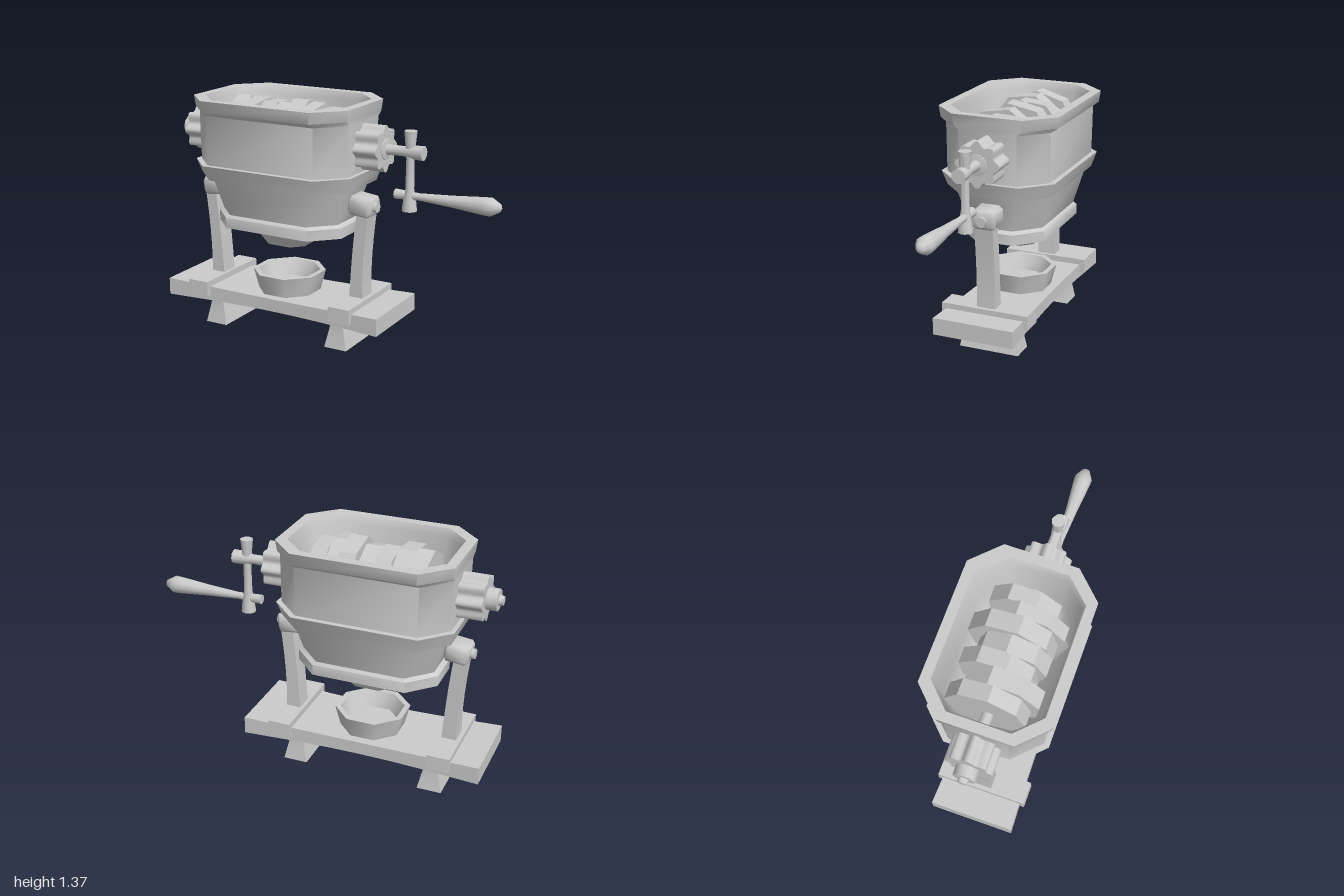
import * as THREE from 'three';
import { toCreasedNormals } from 'three/addons/utils/BufferGeometryUtils.js';

const CX = -0.295; // middle of the body and base
const AXLE_Y = 1.14;
const grey = new THREE.MeshStandardMaterial({ color: 0xcccccc });

function part(parent, name, geometry, x = 0, y = 0, z = 0, crease = 0.85) {
  const mesh = new THREE.Mesh(toCreasedNormals(geometry, crease), grey);
  mesh.name = name;
  mesh.position.set(x, y, z);
  parent.add(mesh);
  return mesh;
}

// Skin through corner-cut rectangles; each level is [y, halfX, halfZ, cut]
function loft(levels) {
  const pos = [], index = [];
  for (const [y, hx, hz, c] of levels) {
    const a = hx - c, b = hz - c;
    for (const [x, z] of [[-a, hz], [a, hz], [hx, b], [hx, -b], [a, -hz], [-a, -hz], [-hx, -b], [-hx, b]]) pos.push(x, y, z);
  }
  for (let l = 0; l < levels.length - 1; l++) {
    for (let i = 0; i < 8; i++) {
      const a = l * 8 + i, b = l * 8 + (i + 1) % 8;
      index.push(a, b, b + 8, a, b + 8, a + 8);
    }
  }
  const top = (levels.length - 1) * 8;
  for (let i = 1; i < 7; i++) index.push(0, i + 1, i, top, top + i, top + i + 1);
  const geo = new THREE.BufferGeometry();
  geo.setAttribute('position', new THREE.Float32BufferAttribute(pos, 3));
  geo.setIndex(index);
  return geo;
}

// Box whose vertices are moved by a rule
function shapedBox(w, h, d, segs, rule) {
  const geo = new THREE.BoxGeometry(w, h, d, ...segs);
  const p = geo.attributes.position, v = new THREE.Vector3();
  for (let i = 0; i < p.count; i++) {
    rule(v.fromBufferAttribute(p, i));
    p.setXYZ(i, v.x, v.y, v.z);
  }
  return geo;
}

// Turned piece from [radius, height] points
const turned = (points, sides = 10) =>
  new THREE.LatheGeometry(points.map(([r, y]) => new THREE.Vector2(r, y)), sides);
const alongX = (geo) => geo.rotateZ(-Math.PI / 2);

function lobedHub(depth) {
  const pts = [];
  for (let i = 0; i < 64; i++) {
    const t = i / 64 * Math.PI * 2, r = 0.116 + 0.014 * Math.cos(8 * t);
    pts.push(new THREE.Vector2(r * Math.cos(t), r * Math.sin(t)));
  }
  return new THREE.ExtrudeGeometry(new THREE.Shape(pts), { depth, bevelEnabled: false }).rotateY(Math.PI / 2);
}

export function createModel() {
  const model = new THREE.Group();
  model.name = 'handCrankGrinder';

  // Hopper: spout recess, outside, rim, then down the inside
  part(model, 'hopper', loft([
    [0.59, 0.09, 0.075, 0.045],
    [0.527, 0.105, 0.088, 0.05],
    [0.527, 0.13, 0.11, 0.06],
    [0.63, 0.21, 0.167, 0.09],
    [0.63, 0.405, 0.25, 0.14],
    [0.69, 0.405, 0.25, 0.14],
    [0.705, 0.38, 0.233, 0.13],
    [0.915, 0.44, 0.29, 0.15],
    [0.915, 0.48, 0.312, 0.15],
    [1.0, 0.503, 0.338, 0.15],
    [1.0, 0.48, 0.308, 0.14],
    [1.28, 0.483, 0.31, 0.14],
    [1.305, 0.488, 0.346, 0.15],
    [1.37, 0.495, 0.354, 0.15],
    [1.37, 0.44, 0.3, 0.13],
    [1.33, 0.425, 0.285, 0.125],
    [1.1, 0.405, 0.272, 0.12],
    [0.9, 0.36, 0.25, 0.12],
    [0.7, 0.2, 0.14, 0.08],
  ]), CX);

  // Grinding rollers: [left, right, radius, z offset, turn]
  const rollers = new THREE.Group();
  rollers.name = 'rollers';
  model.add(rollers);
  [
    [-0.62, -0.53, 0.22, -0.02, 0.1],
    [-0.53, -0.43, 0.22, 0.03, 0.5],
    [-0.43, -0.34, 0.21, -0.03, 0.3],
    [-0.34, -0.24, 0.2, 0.015, 0.7],
    [-0.24, -0.14, 0.235, -0.02, 0.2],
    [-0.14, -0.06, 0.22, 0.03, 0.55],
    [-0.06, 0.03, 0.2, -0.01, 0.35],
  ].forEach(([a, b, r, z, turn]) => {
    const roller = part(rollers, 'roller', alongX(new THREE.CylinderGeometry(r, r, b - a, 8)), (a + b) / 2, AXLE_Y, z, 0.4);
    roller.rotation.x = turn;
  });
  part(rollers, 'axle', alongX(new THREE.CylinderGeometry(0.032, 0.032, 0.78, 8)), CX, AXLE_Y);

  // Lobed hubs on both ends of the axle
  part(model, 'leftHub', lobedHub(0.145), 0.18, AXLE_Y);
  part(model, 'rightHub', lobedHub(0.145), -0.915, AXLE_Y);
  part(model, 'hubCap', alongX(turned([
    [0, -0.09], [0.025, -0.09], [0.03, -0.065], [0.06, -0.065], [0.062, 0], [0, 0],
  ])), -0.91, AXLE_Y);

  // Crank
  const crank = new THREE.Group();
  crank.name = 'crank';
  model.add(crank);
  part(crank, 'crankShaft', alongX(turned([
    [0, 0.3], [0.065, 0.3], [0.06, 0.33], [0.03, 0.335], [0.027, 0.43], [0.038, 0.5], [0.04, 0.55], [0, 0.55],
  ])), 0, AXLE_Y);
  part(crank, 'crankArm', turned([
    [0, 0.815], [0.042, 0.815], [0.036, 0.87], [0.024, 0.94], [0.022, 1.1], [0.03, 1.2], [0.036, 1.255], [0, 1.255],
  ]), 0.47);
  part(crank, 'crankHandle', alongX(turned([
    [0, 0.385], [0.028, 0.385], [0.025, 0.44], [0.02, 0.53], [0.032, 0.72], [0.048, 0.9], [0.05, 0.94], [0.022, 0.99], [0, 1],
  ])), 0, 0.9);

  // Board, slightly thinner and narrower in the middle
  part(model, 'baseBoard', shapedBox(1.39, 0.1, 0.48, [8, 1, 1], (v) => {
    const k = Math.min(1, Math.abs(v.x) / 0.65);
    v.y *= 0.74 + 0.26 * k * k;
    v.z *= 0.92 + 0.08 * k * k;
  }), CX, 0.203);

  // Arms, clamps and feet, the same on both sides
  for (const s of [1, -1]) {
    const side = new THREE.Group();
    side.name = s > 0 ? 'leftSupport' : 'rightSupport';
    side.position.x = CX;
    model.add(side);

    part(side, 'clamp', shapedBox(0.13, 0.085, 0.525, [1, 1, 1], (v) => {
      if (v.y > 0) v.z *= 0.99;
    }), s * 0.47, 0.238);

    part(side, 'arm', shapedBox(0.07, 0.54, 0.11, [1, 6, 1], (v) => {
      const t = v.y / 0.54 + 0.5;
      v.x = v.x * (1 + 0.25 * (1 - t) ** 4) + s * (0.468 + 0.005 * t + 0.035 * t * t);
    }), 0, 0.52);

    const bracket = part(side, 'bracket', loft([
      [-0.07, 0.04, 0.055, 0.015], [-0.055, 0.055, 0.073, 0.02], [0.05, 0.055, 0.073, 0.02], [0.065, 0.042, 0.06, 0.015],
    ].map(([y, x, z, c]) => [y, x, z, c])).rotateZ(Math.PI / 2), s * 0.485, 0.81);
    bracket.rotation.z = s * -0.12;
    part(side, 'bracketPin', alongX(new THREE.CylinderGeometry(0.03, 0.03, 0.08, 8)), s * 0.535, 0.805);

    part(side, 'foot', shapedBox(0.14, 0.17, 0.36, [1, 3, 1], (v) => {
      const t = v.y / 0.17 + 0.5;
      v.x *= 1 - 0.55 * t;
      v.z *= 1 - 0.09 * Math.min(1, t * 1.6);
    }), s * 0.405, 0.085);
  }

  // Catch bowl under the spout
  part(model, 'bowl', loft([
    [0.22, 0.163, 0.163, 0.095],
    [0.36, 0.197, 0.197, 0.115],
    [0.36, 0.168, 0.168, 0.098],
    [0.27, 0.135, 0.135, 0.08],
  ]), CX);

  return model;
}
